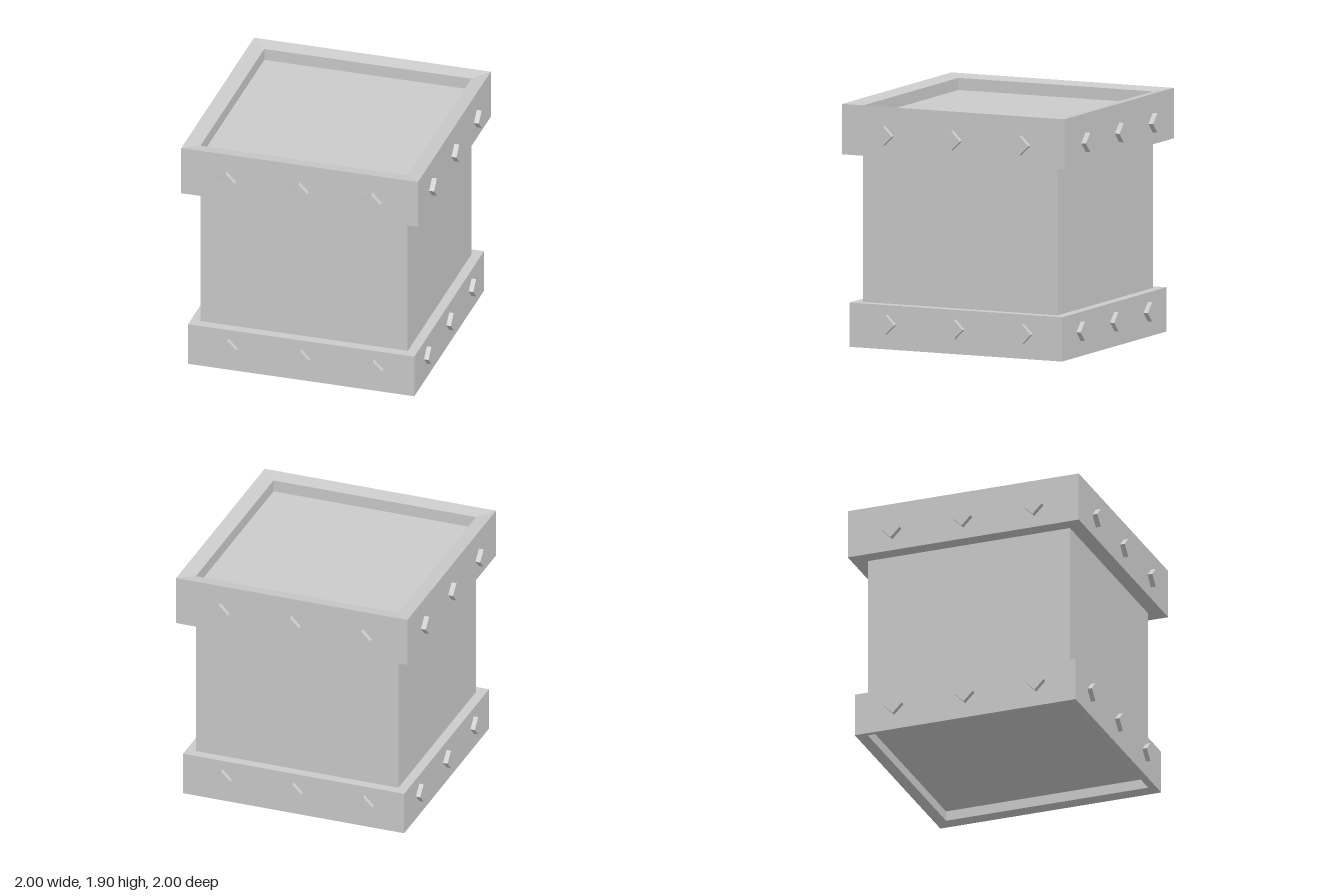
import * as THREE from 'three';

const material = new THREE.MeshStandardMaterial({ color: 0xcccccc, flatShading: true });
const BODY = 0.84; // half width of the body

// Square ring swept from a profile of [half width, height], listed up the outside and down the inside
function squareRing(name, profile) {
  const points = profile.map(([half, y]) => new THREE.Vector2(half * Math.SQRT2, y));
  const swept = new THREE.LatheGeometry(points, 4, Math.PI / 4).toNonIndexed();
  swept.computeVertexNormals();
  const ring = new THREE.Mesh(swept, material);
  ring.name = name;
  return ring;
}

// Three diamond studs on each of the four sides of a band
function studs(name, half, y, depth) {
  const group = new THREE.Group();
  group.name = name;
  const width = 0.108, sunk = 0.02;
  const geometry = new THREE.BoxGeometry(width, width, depth + sunk);
  geometry.rotateZ(Math.PI / 4);
  for (let side = 0; side < 4; side++) {
    const row = new THREE.Group();
    row.name = 'studRow';
    row.rotation.y = side * Math.PI / 2;
    for (const x of [-0.59, 0, 0.59]) {
      const stud = new THREE.Mesh(geometry, material);
      stud.name = 'stud';
      stud.position.set(x, y, half + (depth - sunk) / 2);
      row.add(stud);
    }
    group.add(row);
  }
  return group;
}

export function createModel() {
  const model = new THREE.Group();
  model.name = 'crate';

  // Body, its ends recessed inside the two bands
  const bottom = 0.1, top = 1.79;
  const body = new THREE.Mesh(new THREE.BoxGeometry(BODY * 2, top - bottom, BODY * 2), material);
  body.name = 'body';
  body.position.y = (bottom + top) / 2;
  model.add(body);

  // Upper band: rim slopes slightly inward
  model.add(squareRing('upperBand', [
    [BODY, 1.51], [0.96, 1.51], [0.96, 1.905], [BODY, 1.885], [BODY, top],
  ]));
  model.add(studs('upperStuds', 0.96, 1.68, 0.04));

  // Lower band: same rim, facing down
  model.add(squareRing('lowerBand', [
    [BODY, bottom], [BODY, 0.02], [0.918, 0], [0.918, 0.347], [BODY, 0.347],
  ]));
  model.add(studs('lowerStuds', 0.918, 0.197, 0.037));

  return model;
}
